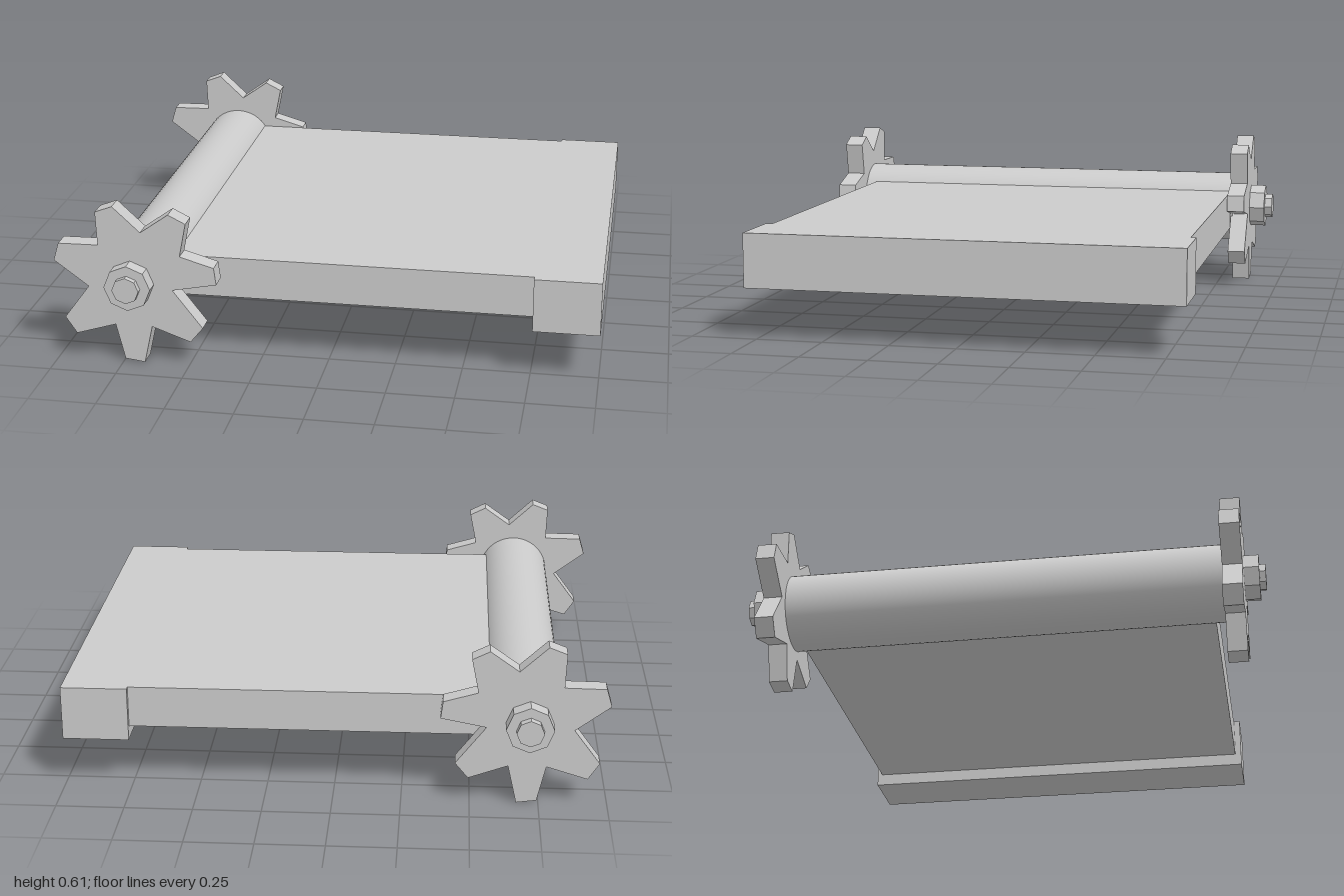
import * as THREE from 'three';

export function createModel() {
  const model = new THREE.Group();
  const smooth = new THREE.MeshStandardMaterial({ color: 0xcccccc });
  const flat = new THREE.MeshStandardMaterial({ color: 0xcccccc, flatShading: true });

  const add = (name, geometry, material = flat) => {
    const mesh = new THREE.Mesh(geometry, material);
    mesh.name = name;
    model.add(mesh);
    return mesh;
  };

  // Box given by its limits on each axis
  const slab = (name, [x0, x1], [y0, y1], [z0, z1]) =>
    add(name, new THREE.BoxGeometry(x1 - x0, y1 - y0, z1 - z0))
      .position.set((x0 + x1) / 2, (y0 + y1) / 2, (z0 + z1) / 2);

  // Cylinder lying along z
  const rod = (name, x, y, radius, z0, z1, sides, material) => {
    const geometry = new THREE.CylinderGeometry(radius, radius, Math.abs(z1 - z0), sides);
    geometry.rotateX(Math.PI / 2);
    add(name, geometry, material).position.set(x, y, (z0 + z1) / 2);
  };

  // Board with a deeper, slightly wider lip along its outer edge
  slab('board', [-0.69, 0.76], [0.235, 0.39], [-0.8, 0.77]);
  slab('lip', [0.755, 1], [0.187, 0.39], [-0.82, 0.795]);

  // Round hinge roller
  rod('roller', -0.69, 0.312, 0.143, -0.81, 0.82, 48, smooth);

  // Seven hand-cut teeth: two tip corners, then the valley after them
  const outline = [
    [-0.835, 0.585], [-0.77, 0.61], [-0.668, 0.515],
    [-0.562, 0.59], [-0.498, 0.558], [-0.524, 0.43],
    [-0.398, 0.393], [-0.39, 0.328], [-0.556, 0.296],
    [-0.445, 0.152], [-0.493, 0.094], [-0.637, 0.146],
    [-0.67, 0], [-0.744, 0.01], [-0.776, 0.146],
    [-0.926, 0.1], [-0.968, 0.163], [-0.872, 0.292],
    [-1, 0.388], [-0.98, 0.455], [-0.83, 0.457],
  ];
  const gearShape = new THREE.Shape(outline.map(([x, y]) => new THREE.Vector2(x, y)));

  // A toothed wheel, nut and bolt end on each side
  for (const [side, inner, outer, nutEnd, boltEnd] of [
    ['front', 0.813, 0.886, 0.942, 0.965],
    ['back', -0.803, -0.873, -0.935, -0.965],
  ]) {
    const depth = Math.abs(outer - inner);
    const gear = new THREE.ExtrudeGeometry(gearShape, { depth, bevelEnabled: false });
    add(side + 'Gear', gear).position.z = Math.min(inner, outer);
    rod(side + 'Nut', -0.711, 0.315, 0.087, inner, nutEnd, 8, flat);
    rod(side + 'Bolt', -0.711, 0.315, 0.05, inner, boltEnd, 8, flat);
  }

  return model;
}
